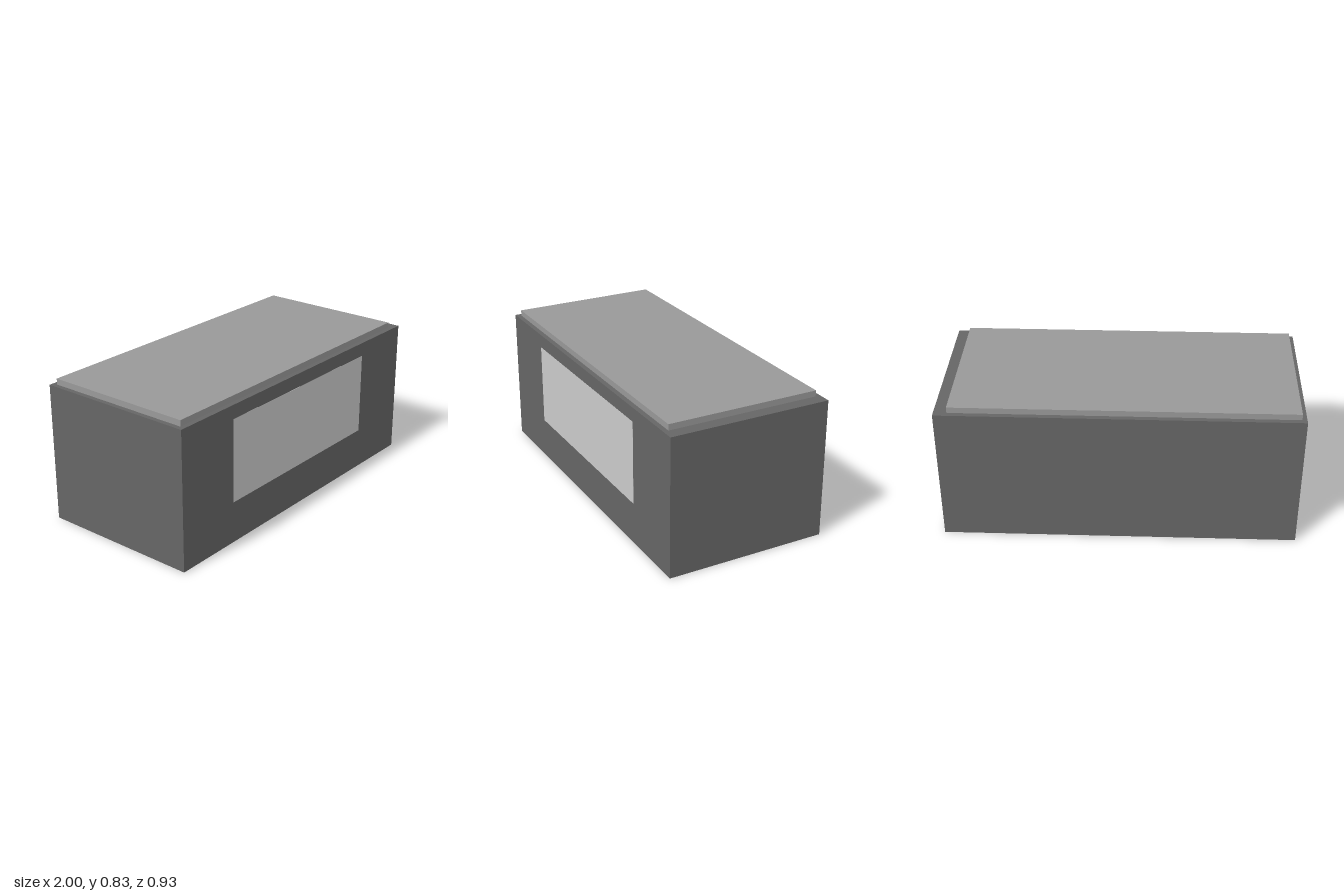
import * as THREE from 'three';

const W = 1, H = 0.8, D = 0.4665;          // outer half width, height, half depth
const IW = 0.8, ID = 0.35, IH = 0.76;      // cavity half width, half depth, height
const WIN = { x: 0.6, y0: 0.24, y1: 0.72 };  // window opening
const SKIN = 0.002;

const mat = (color) => new THREE.MeshStandardMaterial({ color });

// Box given by its lower and upper corners
function block(name, material, [x0, y0, z0], [x1, y1, z1]) {
  const mesh = new THREE.Mesh(new THREE.BoxGeometry(x1 - x0, y1 - y0, z1 - z0), material);
  mesh.position.set((x0 + x1) / 2, (y0 + y1) / 2, (z0 + z1) / 2);
  mesh.name = name;
  return mesh;
}

function trace(path, x, y0, y1) {
  path.moveTo(-x, y0);
  path.lineTo(x, y0);
  path.lineTo(x, y1);
  path.lineTo(-x, y1);
  path.closePath();
  return path;
}

// Upright panel with a rectangular opening, running from z0 to z1
function framePanel(name, material, outer, inner, z0, z1) {
  const shape = trace(new THREE.Shape(), ...outer);
  shape.holes.push(trace(new THREE.Path(), ...inner));
  const geo = new THREE.ExtrudeGeometry(shape, { depth: z1 - z0, bevelEnabled: false });
  const mesh = new THREE.Mesh(geo, material);
  mesh.position.z = z0;
  mesh.name = name;
  return mesh;
}

export function createModel() {
  const model = new THREE.Group();
  model.name = 'windowedBox';
  const dark = mat(0x666666), mid = mat(0x999999), light = mat(0xcccccc);
  const opening = [WIN.x, WIN.y0, WIN.y1];

  // Thick shell, open underneath
  const shell = new THREE.Group();
  shell.name = 'shell';
  shell.add(
    framePanel('frontWall', dark, [W, 0, IH], opening, ID, D),
    block('backWall', dark, [-W, 0, -D], [W, IH, -ID]),
    block('leftWall', dark, [IW, 0, -ID], [W, IH, ID]),
    block('rightWall', dark, [-W, 0, -ID], [-IW, IH, ID]),
    block('roof', dark, [-W, IH, -D], [W, H, D])
  );

  // Pale lining of the cavity
  const lining = new THREE.Group();
  lining.name = 'lining';
  lining.add(
    framePanel('frontLining', light, [IW, SKIN, IH], opening, ID - SKIN, ID),
    block('backLining', light, [-IW, SKIN, -ID], [IW, IH, -ID + SKIN]),
    block('leftLining', light, [IW - SKIN, SKIN, -ID], [IW, IH, ID]),
    block('rightLining', light, [-IW, SKIN, -ID], [-IW + SKIN, IH, ID]),
    block('ceilingLining', light, [-IW, IH - SKIN, -ID], [IW, IH, ID])
  );

  // Window pane flush with the front, with pale reveals behind it
  const win = new THREE.Group();
  win.name = 'window';
  win.add(
    framePanel('reveal', light, opening,
      [WIN.x - SKIN, WIN.y0 + SKIN, WIN.y1 - SKIN], ID - SKIN, D - 0.01),
    block('pane', light, [-WIN.x, WIN.y0, D - 0.042], [WIN.x, WIN.y1, D + 0.0005])
  );

  // Top slab, set slightly towards the right
  const slab = block('topSlab', mid, [-0.973, H, -0.438], [0.927, 0.834, 0.438]);

  model.add(shell, lining, win, slab);
  return model;
}
